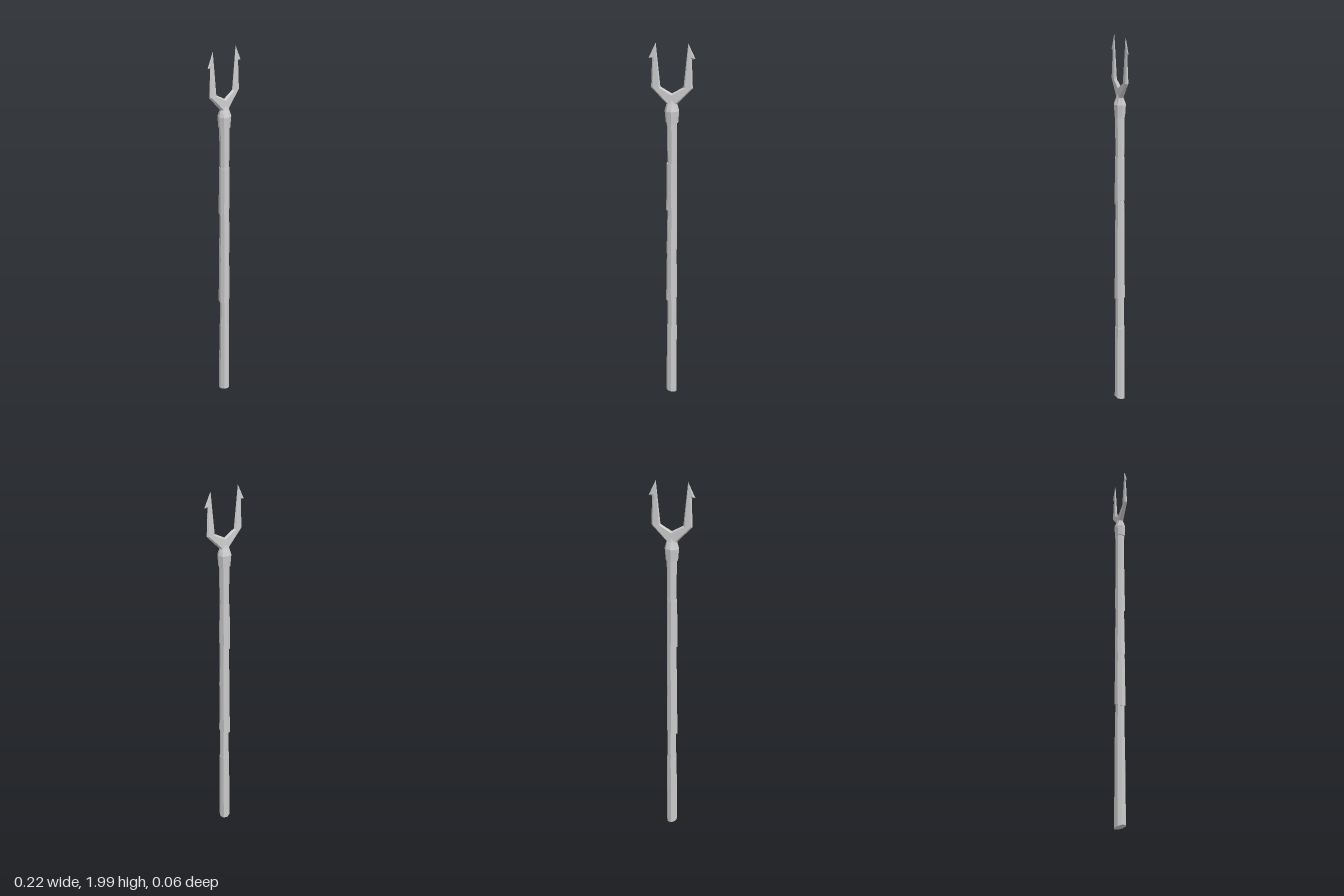
import * as THREE from 'three';

const material = new THREE.MeshStandardMaterial({ color: 0xcccccc, flatShading: true, side: THREE.DoubleSide });

function addMesh(group, name, geometry) {
  geometry.computeVertexNormals();
  const mesh = new THREE.Mesh(geometry, material);
  mesh.name = name;
  group.add(mesh);
}

// Moves every vertex of a geometry by a rule
function reshape(geometry, rule) {
  const p = geometry.attributes.position;
  const v = new THREE.Vector3();
  for (let i = 0; i < p.count; i++) {
    rule(v.fromBufferAttribute(p, i));
    p.setXYZ(i, v.x, v.y, v.z);
  }
  return geometry;
}

// Eight-sided shaft length with slanted end cuts
function shaftSection(y0, y1, r0, r1, slant0, slant1, x0, x1, front0 = 0) {
  const h = y1 - y0;
  return reshape(new THREE.CylinderGeometry(r1, r0, h, 8), (v) => {
    const t = v.y / h + 0.5;
    const slant = THREE.MathUtils.lerp(slant0, slant1, t);
    v.y = y0 + t * h + slant * v.x + front0 * (1 - t) * v.z;
    v.x += THREE.MathUtils.lerp(x0, x1, t);
  });
}

export function createModel() {
  const group = new THREE.Group();
  group.name = 'twoProngedSpear';

  // Shaft: stacked, slightly tapering lengths with slanted steps
  // [bottom, top, bottom radius, top radius, bottom slant, top slant, bottom x, top x, front rise]
  const sections = [
    [0.012, 0.45, 0.030, 0.027, -0.2, 0, -0.002, 0, 0.2],
    [0.45, 0.62, 0.0255, 0.024, 0, 0.35, 0, 0.001],
    [0.62, 0.91, 0.030, 0.026, 0.35, 0.4, -0.002, -0.001],
    [0.905, 1.165, 0.028, 0.024, 0.4, 0.75, -0.001, 0.001],
    [1.16, 1.4, 0.028, 0.026, 0.75, 0, -0.002, -0.001],
    [1.4, 1.62, 0.0235, 0.026, 0, 0, 0.001, 0],
  ];
  sections.forEach((s, i) => addMesh(group, `shaftSection${i + 1}`, shaftSection(...s)));

  // Collar: narrows to a flat neck under the fork
  const profile = [[0, 1.61], [0.031, 1.61], [0.036, 1.67], [0.027, 1.705], [0.024, 1.725], [0, 1.73]]
    .map(([x, y]) => new THREE.Vector2(x, y));
  const collar = reshape(new THREE.LatheGeometry(profile, 8), (v) => {
    v.z *= v.y < 1.69 ? 0.88 : v.y < 1.715 ? 0.62 : 0.45;
  });
  addMesh(group, 'collar', collar);

  // Fork: mirrored outline with bevelled edges, thinning towards the tips
  const half = [[0.025, 1.67], [0.027, 1.705], [0.101, 1.782], [0.095, 1.922],
    [0.112, 1.924], [0.077, 1.997], [0.056, 1.787]];
  const outline = [...half, [0, 1.755], ...half.map(([x, y]) => [-x, y]).reverse()]
    .map(([x, y]) => new THREE.Vector2(x, y));
  const fork = new THREE.ExtrudeGeometry(new THREE.Shape(outline), {
    depth: 0.2, bevelEnabled: true, bevelThickness: 0.9, bevelSize: 0.007, bevelOffset: -0.007, bevelSegments: 1,
  });
  reshape(fork, (v) => {
    const thickness = v.y < 1.79
      ? THREE.MathUtils.mapLinear(v.y, 1.67, 1.79, 0.014, 0.008)
      : THREE.MathUtils.mapLinear(v.y, 1.79, 2, 0.008, 0.002);
    v.z = (v.z - 0.1) * thickness;
  });
  addMesh(group, 'fork', fork);

  return group;
}
